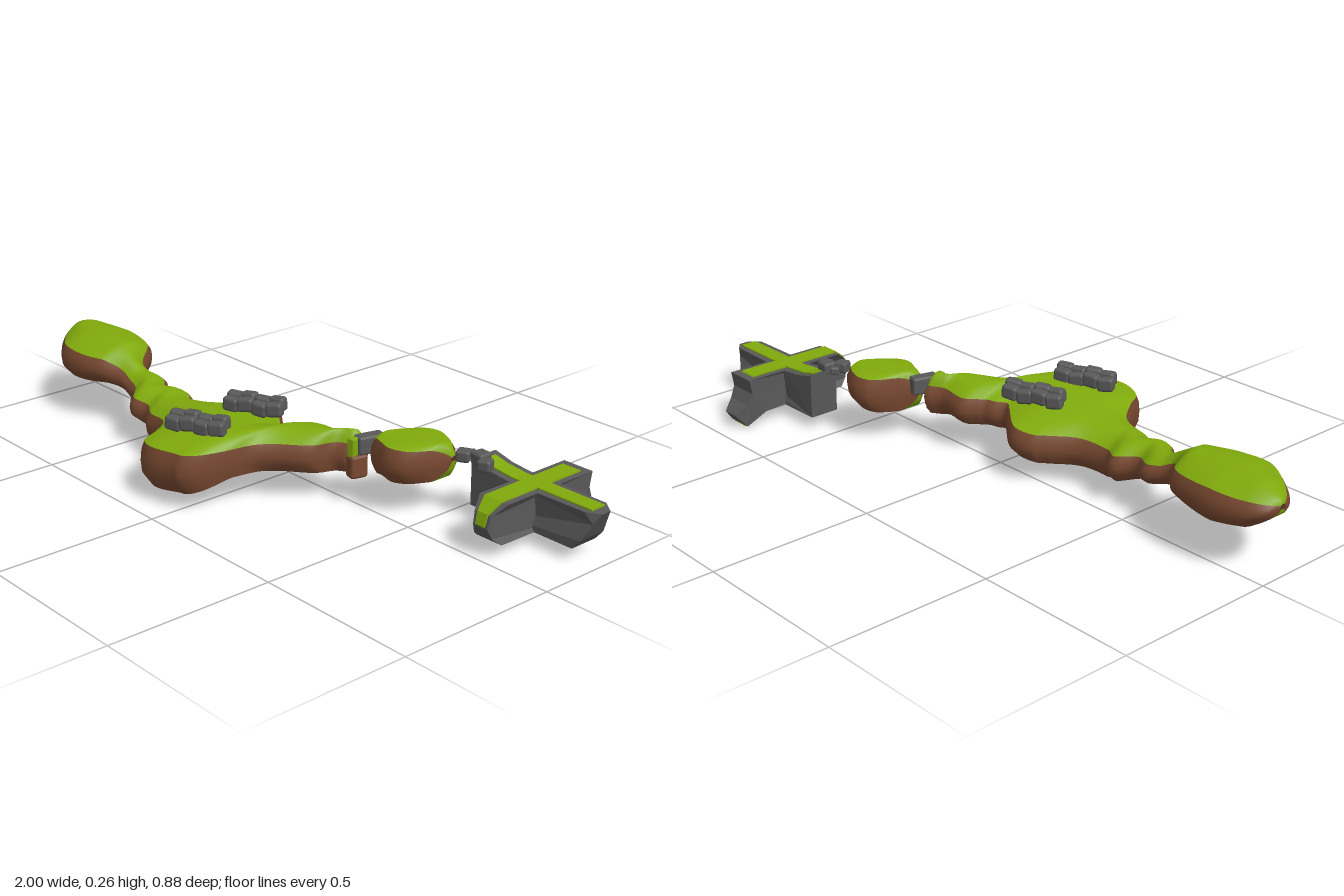
import * as THREE from 'three';
import { RoundedBoxGeometry } from 'three/addons/geometries/RoundedBoxGeometry.js';

const { lerp, clamp } = THREE.MathUtils;

const mat = (name, color) => {
  const m = new THREE.MeshStandardMaterial({ color, side: THREE.DoubleSide });
  m.name = name;
  return m;
};

// Coastlines: x, back z, front z
const MAINLAND = [
  [-1, 0.045, 0.07], [-0.985, 0.01, 0.105], [-0.94, -0.02, 0.155], [-0.84, -0.04, 0.225], [-0.75, -0.033, 0.232],
  [-0.68, -0.01, 0.21], [-0.61, 0.06, 0.17], [-0.53, 0.045, 0.182], [-0.47, 0.075, 0.23], [-0.41, 0.04, 0.222],
  [-0.36, 0.065, 0.25], [-0.27, 0.05, 0.27], [-0.2, -0.02, 0.355], [-0.17, -0.05, 0.41], [-0.11, -0.06, 0.437],
  [-0.01, 0.01, 0.425], [0.02, 0.03, 0.42], [0.05, 0.01, 0.39], [0.075, 0, 0.32], [0.095, -0.02, 0.23],
  [0.13, -0.05, 0.18], [0.21, -0.042, 0.11], [0.235, -0.048, 0.045], [0.27, -0.065, 0.02], [0.285, -0.04, -0.01],
];
const ISLET = [
  [0.3, -0.06, -0.05], [0.315, -0.095, -0.03], [0.365, -0.205, -0.008], [0.41, -0.22, 0.006],
  [0.455, -0.207, -0.01], [0.49, -0.188, -0.06], [0.52, -0.165, -0.14],
];
// Land heights: x, top, bottom
const HEIGHTS = [
  [-1, 0.25, 0.15], [-0.82, 0.258, 0.125], [-0.67, 0.25, 0.135], [-0.57, 0.19, 0.11], [-0.35, 0.175, 0.047],
  [-0.1, 0.2, 0.075], [0.1, 0.21, 0.09], [0.3, 0.214, 0.09], [0.42, 0.217, 0.1], [0.52, 0.214, 0.11],
];

function heightsAt(x) {
  let k = 0;
  while (k < HEIGHTS.length - 2 && x > HEIGHTS[k + 1][0]) k++;
  const a = HEIGHTS[k], b = HEIGHTS[k + 1], f = clamp((x - a[0]) / (b[0] - a[0]), 0, 1);
  return [lerp(a[1], b[1], f), lerp(a[2], b[2], f)];
}

// Strip of land lofted between matching rings
function loft(rings, material, name) {
  const n = rings[0].length, index = [];
  for (let i = 0; i < rings.length - 1; i++) {
    for (let j = 0; j < n - 1; j++) {
      const a = i * n + j, b = a + n;
      index.push(a, a + 1, b, a + 1, b + 1, b);
    }
  }
  const g = new THREE.BufferGeometry();
  g.setAttribute('position', new THREE.Float32BufferAttribute(rings.flat(2), 3));
  g.setIndex(index);
  g.computeVertexNormals();
  const mesh = new THREE.Mesh(g, material);
  mesh.name = name;
  return mesh;
}

// Grassy top, bulging earth flanks and grassy underside, closing at both tips
function land(name, coast, crown, westTip, eastTip, green, brown) {
  const group = new THREE.Group();
  group.name = name;
  const top = [], front = [], under = [], back = [];
  const curve = new THREE.CatmullRomCurve3(coast.map(c => new THREE.Vector3(...c)), false, 'centripetal');
  const across = Array.from({ length: 9 }, (_, i) => i / 4 - 1);
  const steps = (coast.length - 1) * 6;
  for (let i = 0; i <= steps; i++) {
    const { x, y: zBack, z: zFront } = curve.getPoint(i / steps);
    const mid = (zBack + zFront) / 2, half = (zFront - zBack) / 2;
    const close = Math.min((x - coast[0][0]) / westTip, (coast.at(-1)[0] - x) / eastTip);
    const [high, low] = heightsAt(x), centre = lerp(low, high, 0.6);
    const open = 0.15 + 0.85 * Math.sqrt(clamp(close, 0, 1));
    const yTop = lerp(centre, high, open), yLow = lerp(centre, low, open);
    const rim = half - Math.min(0.016, half * 0.4), foot = half - Math.min(0.03, half * 0.4);
    const round = Math.min(crown, (yTop - yLow) * 0.3);
    const topAt = t => [x, yTop - round * t * t, mid + rim * t];
    const lowAt = t => [x, yLow - Math.max(0, mid + foot * t - 0.28) * 0.3, mid + foot * t];
    const flank = s => {
      const a = topAt(s), b = lowAt(s);
      const bulge = (h, w) => [x, lerp(a[1], b[1], h), mid + s * lerp(rim, half, w)];
      return [a, bulge(0.2, 0.75), bulge(0.45, 1), bulge(0.7, 0.8), b];
    };
    top.push(across.map(topAt));
    front.push(flank(1));
    under.push(across.map(t => lowAt(-t)));
    back.push(flank(-1).reverse());
  }
  group.add(loft(top, green, 'grassTop'), loft(under, green, 'grassUnderside'),
    loft(front, brown, 'frontEarth'), loft(back, brown, 'backEarth'));
  return group;
}

// Side profile extruded to a width that tapers along its length
function slab(points, width, taper = () => 1) {
  const g = new THREE.ExtrudeGeometry(new THREE.Shape(points.map(p => new THREE.Vector2(...p))),
    { depth: width, bevelEnabled: false });
  g.translate(0, 0, -width / 2);
  const p = g.attributes.position;
  for (let i = 0; i < p.count; i++) p.setZ(i, p.getZ(i) * taper(p.getX(i)));
  g.computeVertexNormals();
  return g;
}

// Thin strip following a path on a surface
const ribbon = (path, width, du, dy, taper) =>
  slab([...path, ...path.map(([u, y]) => [u + du, y + dy]).reverse()], width, taper);

export function createModel() {
  const green = mat('grass green', 0x80aa0c);
  const brown = mat('earth brown', 0x774830);
  const gray = mat('stone gray', 0x585858);
  const model = new THREE.Group();
  model.name = 'islandChain';
  const add = (parent, name, geometry, material, x = 0, y = 0, z = 0, ry = 0) => {
    const m = new THREE.Mesh(geometry, material);
    m.name = name;
    m.position.set(x, y, z);
    m.rotation.y = ry;
    parent.add(m);
    return m;
  };
  const block = (w, h, d, r) => new RoundedBoxGeometry(w, h, d, 2, r);

  model.add(land('mainland', MAINLAND, 0.035, 0.07, 0.02, green, brown));
  model.add(land('islet', ISLET, 0.012, 0.03, 0.025, green, brown));

  // Small bridge between mainland and islet
  const bridge = new THREE.Group();
  bridge.name = 'bridge';
  add(bridge, 'bridgeStone', block(0.04, 0.055, 0.085, 0.008), gray, 0.295, 0.175, -0.045, -0.25);
  add(bridge, 'bridgeEarth', block(0.04, 0.07, 0.055, 0.01), brown, 0.287, 0.115, -0.005, -0.25);
  add(bridge, 'bridgeGrass', block(0.025, 0.06, 0.025, 0.006), green, 0.283, 0.172, 0.008, 0.2);
  model.add(bridge);

  // Two ruins, each a pair of block rows
  for (const [y, z] of [[0.216, 0.077], [0.212, 0.287]]) {
    const ruin = new THREE.Group();
    ruin.name = 'ruin';
    ruin.position.set(-0.06, y, z);
    ruin.rotation.y = 0.4;
    for (const side of [-1, 1]) {
      for (let i = 0; i < 4; i++) {
        const odd = i % 2;
        const stone = add(ruin, 'ruinBlock', block(0.051, 0.042, 0.034, 0.01), gray,
          (i - 1.5) * 0.046 + side * 0.006, odd * 0.006, side * 0.024, (odd ? 0.12 : -0.1) * side);
        stone.rotation.z = odd ? 0.1 : -0.08;
      }
    }
    model.add(ruin);
  }

  // Stepping stones
  [[0.548, 0.187, -0.16, 0.04], [0.585, 0.182, -0.19, 0.045], [0.548, 0.182, -0.19, 0.028], [0.615, 0.175, -0.175, 0.04]]
    .forEach(([x, y, z, s], i) => add(model, 'steppingStone', block(s, s * 0.85, s, s * 0.2), gray, x, y, z, 0.5 + i));

  // Stone cross platform with tapering arm tips
  const cross = new THREE.Group();
  cross.name = 'crossPlatform';
  const CX = 0.753, CZ = -0.222, turn = -Math.PI / 2;
  const ease = (u, from, to, end) => lerp(1, end, clamp((u - from) / (to - from), 0, 1));
  const sideTaper = u => ease(u, 0.955, 0.997, 0.35);
  const longTaper = u => ease(u, -0.06, -0.012, 0.5) * ease(-u, 0.4, 0.445, 0.5);
  add(cross, 'sideArm', slab([[0.565, 0.178], [0.567, 0.04], [0.93, 0.04], [0.955, 0.07], [0.98, 0.12],
    [0.997, 0.152], [0.96, 0.155], [0.7, 0.155], [0.63, 0.162]], 0.095, sideTaper), gray, 0, 0, CZ);
  add(cross, 'longArm', slab([[-0.4, 0.155], [-0.392, 0.11], [-0.41, 0.075], [-0.445, 0.045], [-0.412, 0.005],
    [-0.345, 0.04], [-0.05, 0.04], [-0.025, 0.06], [-0.012, 0.09], [-0.022, 0.125], [-0.06, 0.155]],
  0.1, longTaper), gray, CX, 0, 0, turn);

  // Thin grass strips above and below the cross
  add(cross, 'sideGrass', ribbon([[0.585, 0.172], [0.63, 0.161], [0.7, 0.154], [0.97, 0.154]], 0.052, 0, 0.005),
    green, 0, 0, CZ);
  add(cross, 'longGrass', ribbon([[-0.375, 0.154], [-0.06, 0.154], [-0.022, 0.124], [-0.012, 0.09]], 0.062, 0.003, 0.005,
    longTaper), green, CX, 0, 0, turn);
  add(cross, 'sideUndergrass', ribbon([[0.59, 0.041], [0.925, 0.041]], 0.052, 0, -0.005), green, 0, 0, CZ);
  add(cross, 'longUndergrass', ribbon([[-0.41, 0.006], [-0.345, 0.041], [-0.06, 0.041]], 0.06, 0, -0.005),
    green, CX, 0, 0, turn);
  model.add(cross);
  return model;
}
